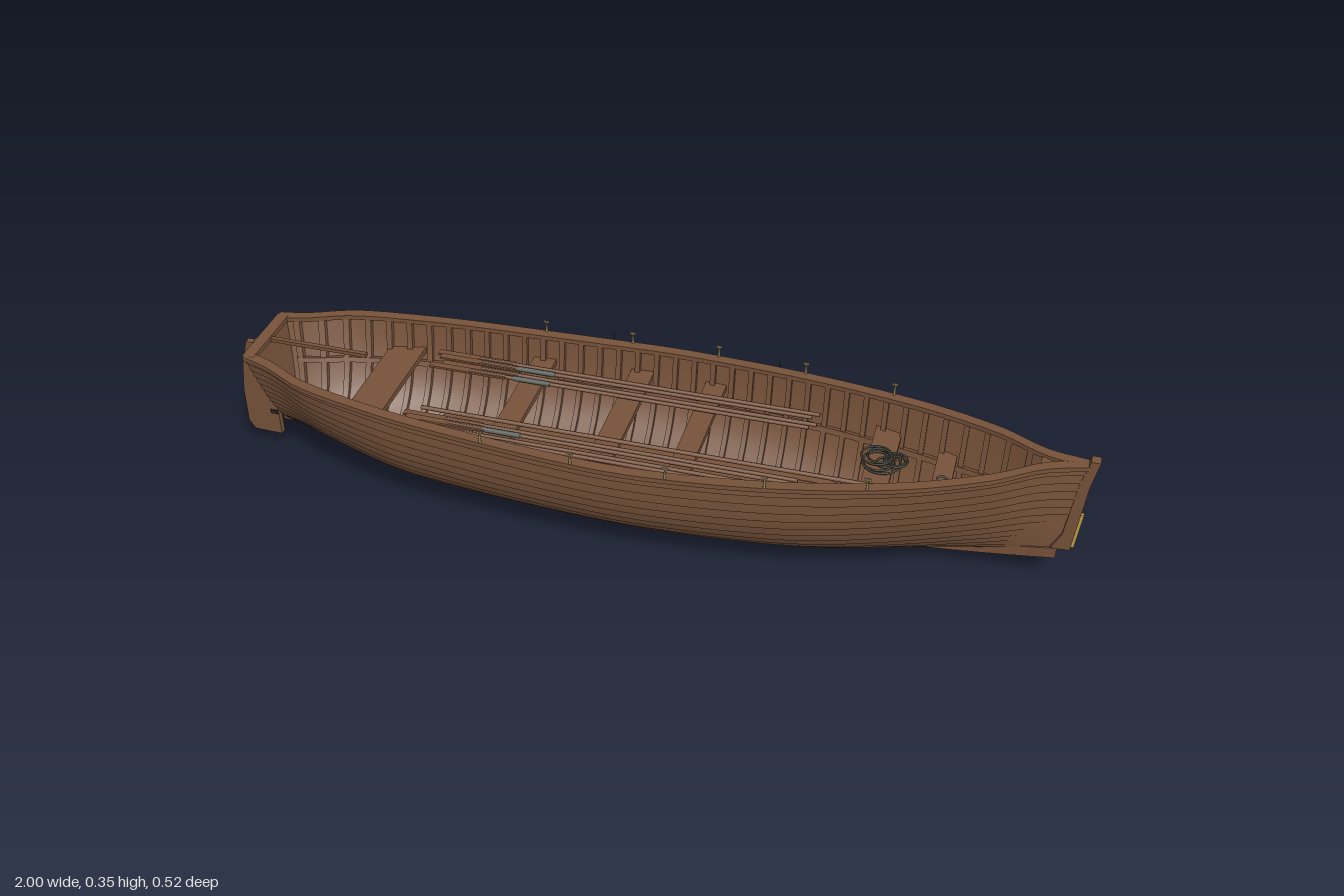
import * as THREE from 'three';
import { toCreasedNormals } from 'three/addons/utils/BufferGeometryUtils.js';

const paint = (name, color) => new THREE.MeshStandardMaterial({ name, color, side: THREE.DoubleSide });

// Smooth curve y(x) through a few points
function through(pts) {
  const n = pts.length;
  const slope = i => {
    const a = pts[Math.max(0, i - 1)], b = pts[Math.min(n - 1, i + 1)];
    return (b[1] - a[1]) / (b[0] - a[0]);
  };
  return x => {
    let i = 0;
    while (i < n - 2 && x > pts[i + 1][0]) i++;
    const [x0, y0] = pts[i], [x1, y1] = pts[i + 1], h = x1 - x0;
    const t = THREE.MathUtils.clamp((x - x0) / h, 0, 1), t2 = t * t, t3 = t2 * t;
    return y0 * (2 * t3 - 3 * t2 + 1) + slope(i) * h * (t3 - 2 * t2 + t) + y1 * (3 * t2 - 2 * t3) + slope(i + 1) * h * (t3 - t2);
  };
}

// Hull lines: half-breadth, sheer height and bottom height along the length
const STERN = -0.89, BOW = 0.965;
const beam = through([[STERN, 0.095], [-0.84, 0.112], [-0.75, 0.16], [-0.6, 0.193], [-0.45, 0.213], [-0.07, 0.24],
  [0.1, 0.238], [0.35, 0.212], [0.6, 0.16], [0.78, 0.093], [0.88, 0.032], [BOW, 0.008]]);
const sheer = through([[STERN, 0.315], [-0.45, 0.297], [0, 0.29], [0.5, 0.306], [BOW, 0.338]]);
const bottom = x => 0.025 + 0.085 * Math.abs(x) ** 2.5;

// Half-breadth at normalised height t
function breadth(x, t) {
  const round = 0.9 * Math.sqrt(Math.max(0, 1 - (1 - t) ** (2 / 0.7))) + 0.1 * t;
  const w = x > 0 ? THREE.MathUtils.smoothstep(x, 0.35, 1) : 0.8 * THREE.MathUtils.smoothstep(-x, 0.5, 0.95);
  return beam(x) * THREE.MathUtils.lerp(round, t ** 0.75, w);
}
// Point on the skin: s runs from keel (0) to sheer (1), inset moves it inward
function skin(x, s, side, inset = 0) {
  const a = Math.PI / 2 * (1 - (1 - s) ** 1.5), t = 1 - Math.max(0, Math.cos(a)) ** 0.7;
  const y = bottom(x) + (sheer(x) - bottom(x)) * t;
  const rake = (x < 0 ? -0.04 : 0.015) * t * Math.abs(x) ** 6 / (x < 0 ? 0.5 : 0.8);
  const z = Math.max(0, breadth(x, t) - inset * Math.sin(a));
  return [x + rake, y + inset * Math.cos(a), side * z];
}
// Surface from a rule p(u, v)
function grid(p, nu, nv) {
  const pos = [], idx = [];
  for (let i = 0; i <= nu; i++) for (let j = 0; j <= nv; j++) pos.push(...p(i / nu, j / nv));
  for (let i = 0; i < nu; i++) for (let j = 0; j < nv; j++) {
    const a = i * (nv + 1) + j, b = a + nv + 1;
    idx.push(a, a + 1, b, b, a + 1, b + 1);
  }
  const g = new THREE.BufferGeometry();
  g.setAttribute('position', new THREE.Float32BufferAttribute(pos, 3));
  g.setIndex(idx);
  g.computeVertexNormals();
  return g;
}
const patch = (side, x0, x1, s0, s1, inset, nx, ns) =>
  grid((u, v) => skin(x0 + (x1 - x0) * u, s0 + (s1 - s0) * v, side, inset), nx, ns);

// One lapped plank: its lower edge stands proud of the plank below
const plank = (side, x0, x1, s0, s1) => toCreasedNormals(grid((u, v) => {
  const k = Math.max(0, (v * 4 - 1) / 3);
  return skin(x0 + (x1 - x0) * u, s0 + (s1 - s0) * k, side, v === 0 ? 0 : -0.003 * (1 - k));
}, Math.ceil((x1 - x0) * 36), 4), 0.6);

export function createModel() {
  const wood = paint('brown wood', 0x76523a), iron = paint('dark iron', 0x2c241f), black = paint('black bottom paint', 0x1c1c1d),
    canvas = paint('olive canvas', 0x6d6753), brass = paint('brass', 0xc4a24a), pale = paint('pale tan', 0x8f8058),
    collar = paint('grey leather', 0x59605a), rope = paint('dark rope', 0x3b3c33);
  const model = new THREE.Group(), boat = new THREE.Group();
  boat.name = 'boat';
  boat.position.z = 0.012;
  model.add(boat);
  const add = (name, geo, mat, x = 0, y = 0, z = 0) => {
    const m = new THREE.Mesh(geo, mat);
    m.name = name;
    m.position.set(x, y, z);
    boat.add(m);
    return m;
  };
  const box = (name, w, h, d, mat, x, y, z) => add(name, new THREE.BoxGeometry(w, h, d), mat, x, y, z);
  const slab = (name, pts, depth, mat) => {
    const g = new THREE.ExtrudeGeometry(new THREE.Shape(pts.map(p => new THREE.Vector2(...p))), { depth, bevelEnabled: false });
    return add(name, g.translate(0, 0, -depth / 2), mat);
  };
  const rod = (name, r, x0, x1, mat, y, z) =>
    add(name, new THREE.CylinderGeometry(r, r, x1 - x0, 8).rotateZ(Math.PI / 2), mat, (x0 + x1) / 2, y, z);

  for (const side of [1, -1]) {
    // Lapped planking; the lowest four strakes are partly painted black
    const strakes = 14;
    for (let k = 0; k < strakes; k++) {
      const s0 = k / strakes, s1 = (k + 1) / strakes;
      const cuts = k < 2 ? [STERN, -0.1, 0.53, BOW] : k < 4 ? [STERN, STERN + 0.01, 0.53, BOW] : [STERN, BOW];
      for (let i = 0; i < cuts.length - 1; i++)
        add('strake', plank(side, cuts[i], cuts[i + 1], s0, s1), i === 1 ? black : wood);
    }
    add('innerPlanking', patch(side, STERN, BOW - 0.02, 0, 1, 0.009, 72, 20), wood);
    add('bilgeBatten', patch(side, -0.87, 0.53, 0.13, 0.146, -0.005, 48, 1), wood);

    // Gunwale rail
    const rail = [[0.006, -0.007], [0.006, 0.004], [-0.02, 0.004], [-0.02, -0.007], [0.006, -0.007]];
    add('gunwale', toCreasedNormals(grid((u, v) => {
      const [x, y, z] = skin(STERN + (BOW - STERN) * u, 1, 1), [dz, dy] = rail[Math.round(v * 4)];
      return [x, y + dy, side * Math.max(0, z + dz)];
    }, 72, 4), 0.7), wood);

    // Stringer carrying the thwarts
    add('stringer', toCreasedNormals(grid((u, v) => {
      const k = Math.round(v * 3);
      return skin(-0.86 + 1.74 * u, 0.64 + (k > 1 ? 0.04 : 0), side, k % 3 ? 0.024 : 0.009);
    }, 50, 3), 0.7), wood);

    // Ribs
    for (let x = -0.86; x < 0.9; x += 0.046)
      add('rib', toCreasedNormals(grid((u, v) => {
        const k = Math.round(v * 3);
        return skin(x + (k > 1 ? 0.012 : 0), 0.04 + 0.94 * u, side, k % 3 ? 0.021 : 0.008);
      }, 10, 3), 0.7), wood);

    // Thole pins
    for (const x of [-0.3, -0.09, 0.12, 0.33, 0.54]) {
      const z = side * (beam(x) + 0.002), y = sheer(x);
      add('tholePin', new THREE.CylinderGeometry(0.0018, 0.0036, 0.034, 8), pale, x, y + 0.015, z);
      box('pinHead', 0.014, 0.005, 0.003, pale, x, y + 0.031, z);
    }
  }

  // Transom, two faces and a cap
  for (const d of [0, 0.018])
    add('transom', grid((u, v) => {
      const [x, y, z] = skin(STERN, u, 1);
      return [x + d, y, z * (2 * v - 1)];
    }, 20, 4), wood);
  box('transomCap', 0.028, 0.012, 0.19, wood, -0.92, 0.313, 0);

  // Keel, bowed a little sideways
  const keelPts = [];
  for (let i = 0; i <= 36; i++) { const x = -0.82 + 1.765 * i / 36; keelPts.push([x, 0.09 * Math.abs(x) ** 2.2]); }
  for (let i = 36; i >= 0; i--) { const x = -0.82 + 1.765 * i / 36; keelPts.push([x, bottom(x) + 0.008]); }
  const keel = slab('keel', keelPts, 0.022, wood).geometry, kp = keel.attributes.position;
  for (let i = 0; i < kp.count; i++) kp.setZ(i, kp.getZ(i) - 0.02 * (1 - kp.getX(i) ** 2));
  keel.computeVertexNormals();

  // Stem post with a brass strip, breasthook
  slab('stemPost', [[0.93, 0.108], [0.972, 0.11], [0.98, 0.2], [0.988, 0.29], [1, 0.355], [0.98, 0.355],
    [0.965, 0.29], [0.95, 0.15]], 0.024, wood);
  const strip = box('stemStrip', 0.012, 0.098, 0.0075, brass, 0.978, 0.157, -0.003);
  strip.rotation.set(0.06, 0, -0.08);
  const hook = [];
  for (const x of [0.88, 0.92, 0.95]) hook.push([x, beam(x) - 0.004]);
  for (const x of [0.95, 0.92, 0.88]) hook.push([x, 0.004 - beam(x)]);
  const hookMesh = slab('breasthook', hook, 0.01, wood);
  hookMesh.rotation.x = Math.PI / 2;
  hookMesh.position.y = 0.324;

  // Stern post, rudder, hinges and tiller
  slab('sternPost', [[-0.87, 0.085], [-0.9, 0.085], [-0.952, 0.3], [-0.935, 0.3]], 0.02, wood);
  slab('rudder', [[-0.94, 0.295], [-0.972, 0.295], [-0.99, 0.23], [-1, 0.15], [-1, 0.06], [-0.985, 0.037], [-0.915, 0.035],
    [-0.915, 0.12]], 0.016, wood);
  for (const [x, y] of [[-0.925, 0.1], [-0.932, 0.19]]) box('rudderHinge', 0.02, 0.01, 0.022, iron, x, y, 0);
  box('tiller', 0.27, 0.009, 0.011, wood, -0.8, 0.309, 0);

  // Floorboards
  for (let k = -4; k <= 4; k++) {
    const trim = 0.012 * k * k;
    const x0 = -0.72 + trim, x1 = 0.64 - trim;
    box('floorboard', x1 - x0, 0.008, 0.0225, wood, (x0 + x1) / 2, 0.092, k * 0.0245);
  }
  box('sternFloor', 0.14, 0.008, 0.05, wood, -0.78, 0.125, 0);

  // Thwarts: position and width
  for (const [x, w] of [[-0.635, 0.085], [-0.3, 0.055], [-0.06, 0.055], [0.12, 0.05], [0.54, 0.06], [0.68, 0.042]]) {
    const t = (0.225 - bottom(x)) / (sheer(x) - bottom(x));
    const z0 = breadth(x - w / 2, t) - 0.008, z1 = breadth(x + w / 2, t) - 0.008;
    const seat = slab('thwart', [[x - w / 2, -z0], [x + w / 2, -z1], [x + w / 2, z1], [x - w / 2, z0]], 0.014, wood);
    seat.rotation.x = Math.PI / 2;
    seat.position.y = 0.225;
  }

  // Oars stowed over the thwarts, with leather collars
  const oars = [-0.155, -0.135, -0.115, -0.095, 0.095, 0.113, 0.131, 0.149, 0.167];
  oars.forEach((z, i) => {
    const x0 = -0.55 + 0.012 * (i % 3), y = 0.238 + 0.004 * (i % 2);
    box('oarBlade', 0.19, 0.005, 0.017, wood, x0 + 0.095, y, z);
    rod('oarShaft', 0.0048, x0 + 0.1, 0.38 - 0.015 * (i % 2), wood, y, z);
    if (i % 2) rod('oarCollar', 0.0062, -0.34, -0.25, collar, y, z);
  });
  rod('boatHookPole', 0.005, -0.5, 0.62, wood, 0.25, 0.082);
  box('brassFitting', 0.03, 0.014, 0.016, brass, -0.51, 0.103, 0.054);

  // Mast rings and loosely coiled ropes
  for (const [x, y] of [[-0.37, 0.1], [0.68, 0.236]])
    add('mastRing', new THREE.TorusGeometry(0.01, 0.0025, 6, 16).rotateX(Math.PI / 2), collar, x, y, 0);
  for (let k = 0; k < 7; k++)
    add('ropeCoil', new THREE.TorusGeometry(0.018 + 0.008 * (k % 4), 0.0026, 6, 28).rotateX(Math.PI / 2), rope,
      0.55 + 0.026 * Math.sin(k * 2), 0.235 + 0.003 * (k % 3), -0.032 + 0.008 * Math.cos(k * 2));

  // Fenders hung over the right-hand side of the hull
  for (const [x, y, z] of [[-0.14, 0.207, -0.254], [0.265, 0.212, -0.241]]) {
    add('fender', new THREE.CapsuleGeometry(0.0185, 0.1, 6, 16), canvas, x, y, z);
    add('fenderRope', new THREE.CylinderGeometry(0.002, 0.002, 0.028, 6), rope, x, y + 0.08, z);
  }
  return model;
}
